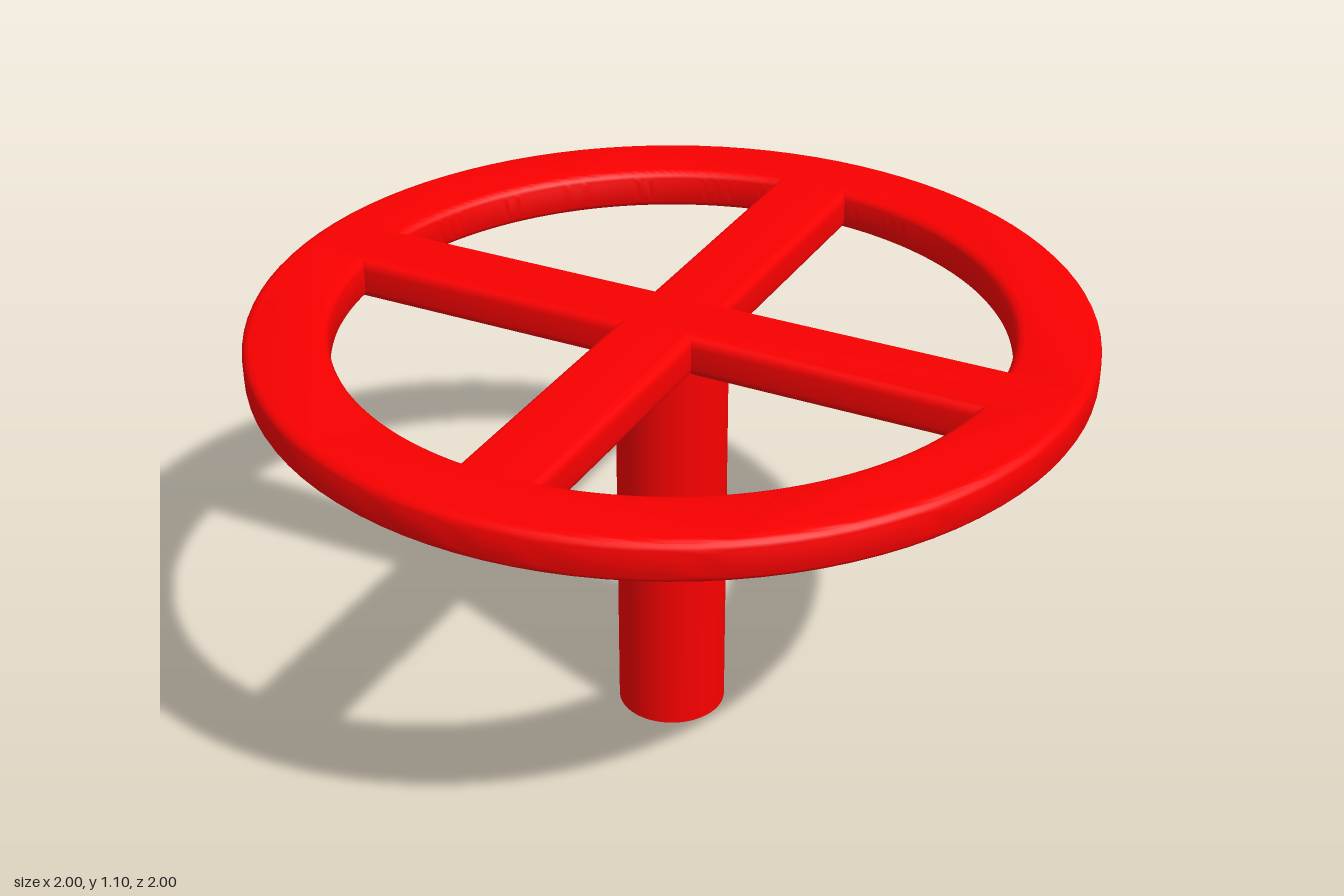
import * as THREE from 'three';
import { toCreasedNormals } from 'three/addons/utils/BufferGeometryUtils.js';

const RIM = 1, INNER = 0.8, SPOKE = 0.1, THICK = 0.1, STEM_H = 1, STEM_R = 0.135, BEVEL = 0.025;

// One quarter opening between two spokes: the arc of the rim, then the corner at the hub
function quarterHole(quarter) {
  const turn = quarter * Math.PI / 2;
  const a = Math.asin(SPOKE / INNER);
  const cornerAngle = turn + Math.PI / 4, cornerR = SPOKE * Math.SQRT2;
  const hole = new THREE.Path();
  hole.absarc(0, 0, INNER, turn + a, turn + Math.PI / 2 - a, false);
  hole.lineTo(cornerR * Math.cos(cornerAngle), cornerR * Math.sin(cornerAngle));
  hole.closePath();
  return hole;
}

export function createModel() {
  const group = new THREE.Group();
  group.name = 'handwheel';
  const red = new THREE.MeshStandardMaterial({ color: 0xf90000 });

  // Rim and crossed spokes in one piece, with rounded edges
  const outline = new THREE.Shape().absarc(0, 0, RIM, 0, Math.PI * 2, false);
  for (let q = 0; q < 4; q++) outline.holes.push(quarterHole(q));
  const extruded = new THREE.ExtrudeGeometry(outline, {
    depth: THICK - 2 * BEVEL,
    bevelThickness: BEVEL,
    bevelSize: BEVEL,
    bevelOffset: -BEVEL,
    bevelSegments: 5,
    curveSegments: 48,
  });
  const wheel = new THREE.Mesh(toCreasedNormals(extruded, 0.6), red);
  wheel.name = 'wheel';
  wheel.rotation.x = -Math.PI / 2;
  wheel.position.y = STEM_H + BEVEL;
  group.add(wheel);

  // Stem, let slightly into the hub
  const height = STEM_H + 0.03;
  const stem = new THREE.Mesh(new THREE.CylinderGeometry(STEM_R, STEM_R, height, 48), red);
  stem.name = 'stem';
  stem.position.y = height / 2;
  group.add(stem);

  return group;
}
